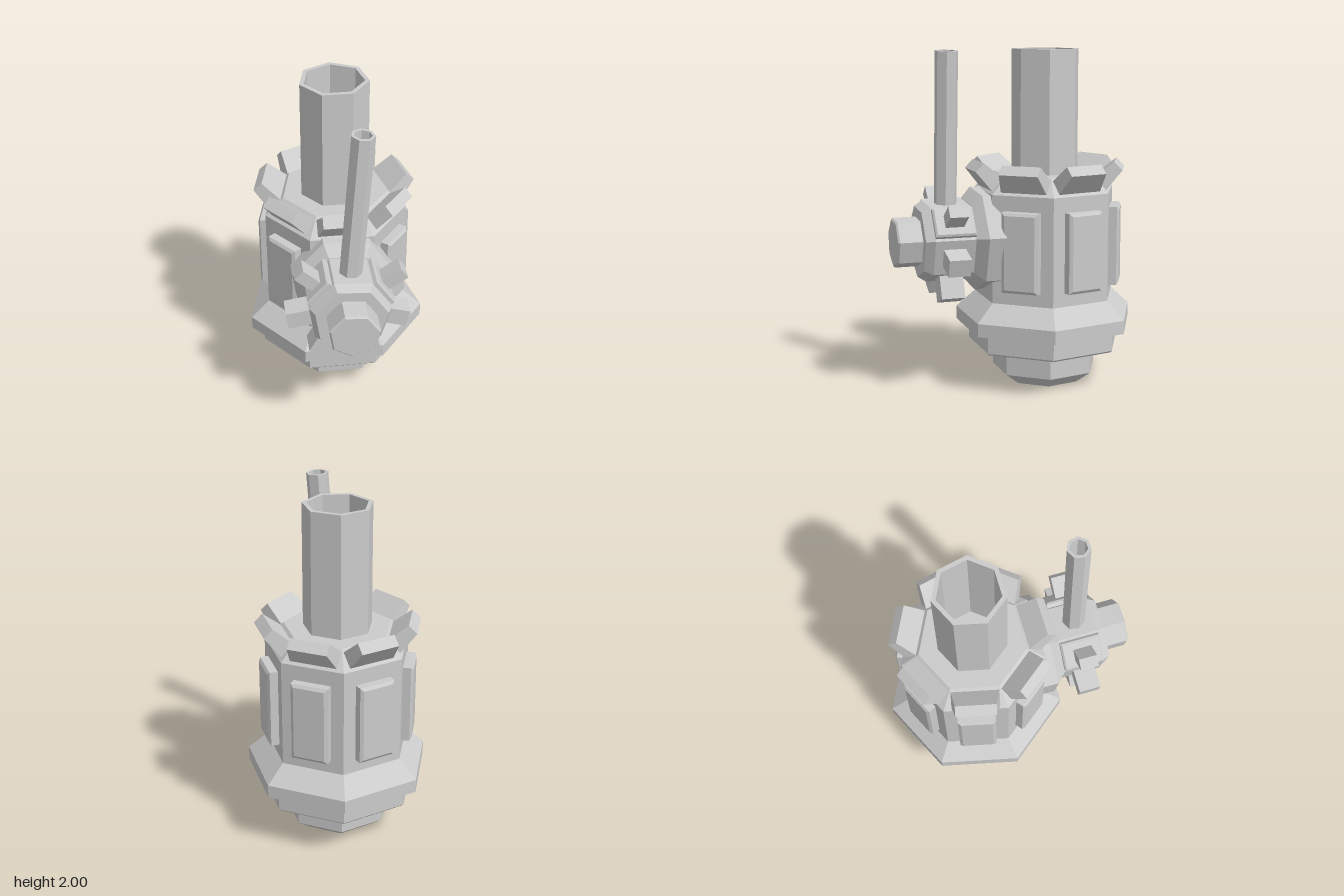
import * as THREE from 'three';

const SIDES = 7;
const STEP = (Math.PI * 2) / SIDES;
const material = new THREE.MeshStandardMaterial({ color: 0xcccccc, flatShading: true });

function add(parent, name, geometry) {
  const mesh = new THREE.Mesh(geometry, material);
  mesh.name = name;
  parent.add(mesh);
  return mesh;
}

// Seven-sided turned solid from [radius, height] points, bottom to top.
function turned(points, phiStart = Math.PI) {
  const profile = points.map(([r, y]) => new THREE.Vector2(r, y));
  return new THREE.LatheGeometry(profile, SIDES, phiStart);
}

// Open pipe with a rim at each end.
const pipe = (outer, inner, y0, y1) =>
  turned([[inner, y0], [outer, y0], [outer, y1], [inner, y1], [inner, y0]]);

// Block standing on z = 0, straight up to the bevel depth, then shrinking to the front.
function bevelled(w, h, d, w1, h1, bevel) {
  const g = new THREE.BoxGeometry(w, h, d, 1, 1, 2).translate(0, 0, d / 2);
  const p = g.attributes.position;
  for (let i = 0; i < p.count; i++) {
    const z = p.getZ(i);
    if (z > d * 0.75) p.setXY(i, (p.getX(i) * w1) / w, (p.getY(i) * h1) / h);
    else if (z > d * 0.25) p.setZ(i, d - bevel);
  }
  return g;
}

// Simple tapered block standing on z = 0.
function tapered(w, h, d, w1, h1) {
  const g = new THREE.BoxGeometry(w, h, d).translate(0, 0, d / 2);
  const p = g.attributes.position;
  for (let i = 0; i < p.count; i++) {
    if (p.getZ(i) > d / 2) p.setXY(i, (p.getX(i) * w1) / w, (p.getY(i) * h1) / h);
  }
  return g;
}

function createTower() {
  const tower = new THREE.Group();
  tower.name = 'tower';
  tower.position.z = -0.19;

  // Foot, hollow skirt, flange, wall and sloping roof
  add(tower, 'body', turned([
    [0, 0], [0.225, 0], [0.32, 0.07], [0.32, 0.335], [0.43, 0.335], [0.43, 0.22],
    [0.46, 0.22], [0.47, 0.23], [0.47, 0.345], [0.549, 0.345], [0.549, 0.425],
    [0.433, 0.53], [0.433, 1.17], [0.32, 1.27], [0, 1.27],
  ]));
  add(tower, 'chimney', pipe(0.205, 0.178, 1.26, 2));

  const panel = bevelled(0.222, 0.47, 0.06, 0.185, 0.435, 0.012);
  const block = tapered(0.28, 0.1, 0.145, 0.235, 0.07);
  for (let k = 0; k < SIDES; k++) {
    const face = new THREE.Group();
    face.name = 'towerFace';
    face.rotation.y = k * STEP;
    tower.add(face);

    // The front face carries the hub instead of a panel
    if (k > 0) add(face, 'wallPanel', panel).position.set(0, 0.845, 0.39);

    const roofBlock = add(face, 'roofBlock', block);
    roofBlock.position.set(0, 1.22, 0.34);
    roofBlock.rotation.x = -Math.PI / 4;
  }
  return tower;
}

function createHub() {
  const hub = new THREE.Group();
  hub.name = 'hub';
  hub.position.y = 0.887;
  hub.rotation.z = -0.07;

  const forward = (points) => turned(points, 0).rotateX(Math.PI / 2);
  add(hub, 'mountingPlate', forward([[0, 0.15], [0.316, 0.15], [0.316, 0.25], [0.25, 0.31], [0, 0.31]]));
  add(hub, 'hubDrum', forward([[0, 0.28], [0.247, 0.28], [0.247, 0.55], [0.215, 0.6], [0, 0.6]]));
  add(hub, 'hubNose', forward([[0, 0.58], [0.15, 0.58], [0.15, 0.735], [0.14, 0.745], [0, 0.745]]));

  // Thin upright pipe rising from the top face
  add(hub, 'thinPipe', pipe(0.068, 0.05, 0.15, 1.111)).position.z = 0.435;

  // Pegs around the other six faces; [width, depth, tip radius] from the top face down
  const sizes = [[0.075, 0.11, 0.385], [0.105, 0.13, 0.36], [0.125, 0.14, 0.36]];
  for (let k = 1; k < SIDES; k++) {
    const row = Math.min(k, SIDES - k) - 1;
    const [w, d, tip] = sizes[row];
    const face = new THREE.Group();
    face.name = 'hubFace';
    face.rotation.z = k * STEP;
    hub.add(face);
    const peg = new THREE.BoxGeometry(w, tip - 0.15, d).translate(0, (tip + 0.15) / 2, 0.435);
    add(face, 'hubPeg', peg);
    // Raised plates under the two upper pegs
    if (row === 0) {
      const plate = add(face, 'hubPlate', bevelled(0.18, 0.24, 0.04, 0.16, 0.22, 0.01));
      plate.position.set(0, 0.215, 0.43);
      plate.rotation.x = -Math.PI / 2;
    }
  }
  return hub;
}

export function createModel() {
  const model = new THREE.Group();
  model.name = 'chimneyTower';
  model.add(createTower(), createHub());
  return model;
}
